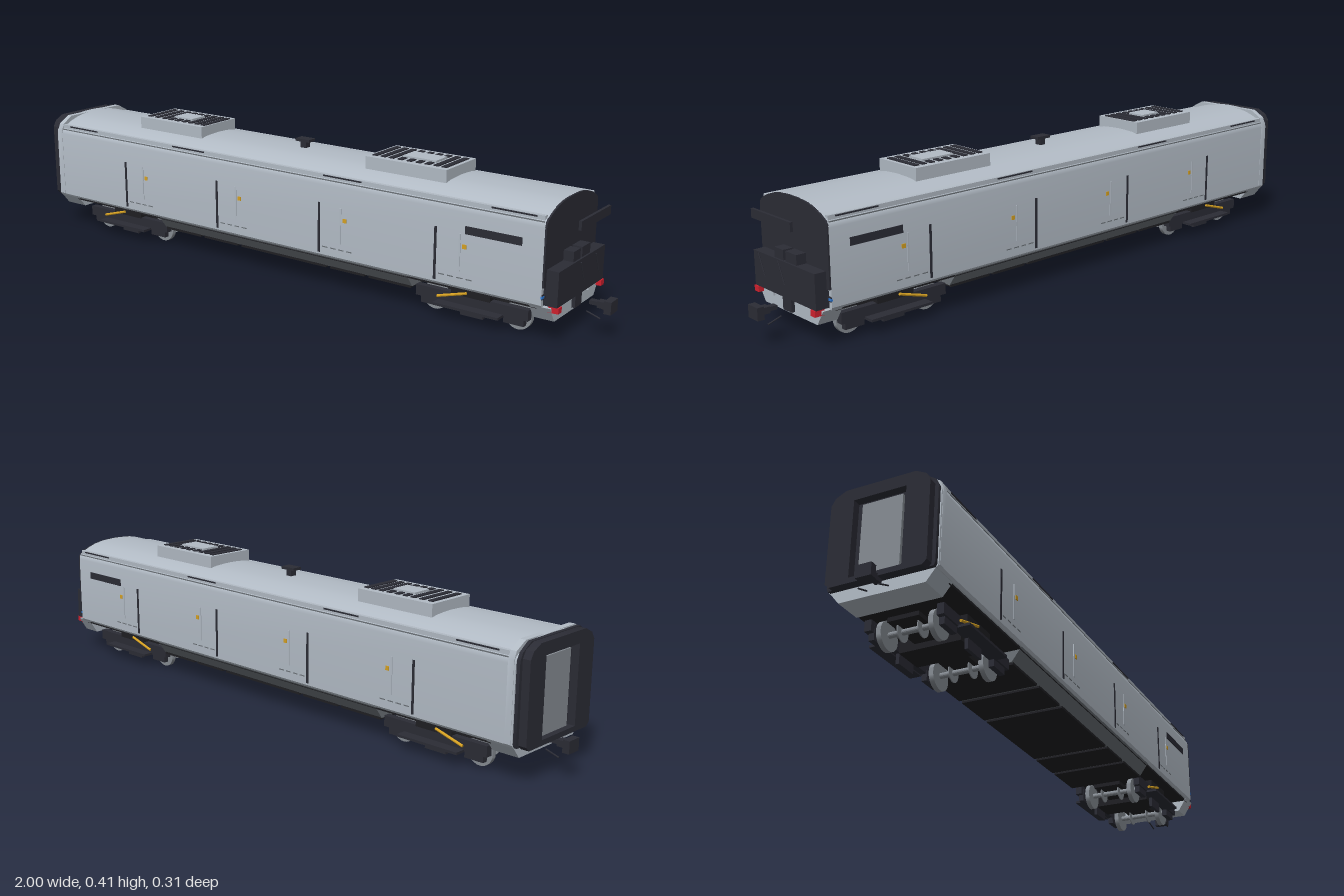
import * as THREE from 'three';
import { toCreasedNormals } from 'three/addons/utils/BufferGeometryUtils.js';

const mat = (name, color) => {
  const m = new THREE.MeshStandardMaterial({ color });
  m.name = name;
  return m;
};

export function createModel() {
  const grey = mat('body grey', 0xb2bbc5);
  const dark = mat('dark panel', 0x2b2c35);
  const black = mat('underframe black', 0x1f1f23);
  const shade = mat('skirt grey', 0x6c7278);
  const steel = mat('steel', 0x868c93);
  const yellow = mat('yellow', 0xd6a122);
  const red = mat('red', 0xd0202e);
  const blue = mat('blue', 0x2f7ad6);

  const root = new THREE.Group();
  root.name = 'railCar';
  const add = (name, geo, m, parent = root) => {
    const mesh = new THREE.Mesh(geo, m);
    mesh.name = name;
    parent.add(mesh);
    return mesh;
  };
  // Box given by its min and max on each axis
  const box = (name, m, x0, x1, y0, y1, z0, z1, parent = root) => {
    const b = add(name, new THREE.BoxGeometry(x1 - x0, y1 - y0, z1 - z0), m, parent);
    b.position.set((x0 + x1) / 2, (y0 + y1) / 2, (z0 + z1) / 2);
    return b;
  };
  // Symmetric cross-section of [z, y] points (bottom to top) run along x
  const section = (half) => new THREE.Shape([
    ...half.map(([z, y]) => new THREE.Vector2(z, y)),
    ...half.slice().reverse().filter(([z]) => z > 0).map(([z, y]) => new THREE.Vector2(-z, y)),
  ]);
  const run = (name, shape, m, x0, x1) => {
    const g = new THREE.ExtrudeGeometry(shape, { depth: x1 - x0, bevelEnabled: false });
    g.rotateY(Math.PI / 2).translate(x0, 0, 0);
    return add(name, toCreasedNormals(g, 0.5), m);
  };
  // Round bar between two points
  const rod = (name, m, a, b, r, parent = root, sides = 8) => {
    const p = new THREE.Vector3(...a), q = new THREE.Vector3(...b);
    const geo = toCreasedNormals(new THREE.CylinderGeometry(r, r, p.distanceTo(q), sides), 0.9);
    const mesh = add(name, geo, m, parent);
    mesh.position.copy(p).add(q).multiplyScalar(0.5);
    mesh.quaternion.setFromUnitVectors(new THREE.Vector3(0, 1, 0), q.sub(p).normalize());
    return mesh;
  };

  // Body shell with curved roof
  const roof = [[0.153, 0.331], [0.147, 0.339], [0.132, 0.348], [0.112, 0.357], [0.088, 0.365], [0.06, 0.371], [0.03, 0.373], [0, 0.374]];
  run('bodyShell', section([[0.15, 0.105], [0.155, 0.112], [0.155, 0.32], ...roof]), grey, -0.92, 0.866);
  run('cabPanel', section([[0.143, 0.11], [0.143, 0.16], [0.155, 0.16], [0.155, 0.32], ...roof]), dark, 0.865, 0.871);
  run('endCollar', section([[0.15, 0.107], [0.156, 0.113], [0.156, 0.33], [0.147, 0.352], [0.11, 0.373], [0, 0.373]]), grey, -0.915, -0.897);
  for (const s of [-1, 1]) {
    box('gutter', grey, -0.897, 0.862, 0.335, 0.35, s * 0.142 - 0.006, s * 0.142 + 0.006);
    box('gutterSeam', shade, -0.897, 0.862, 0.333, 0.336, s * 0.149 - 0.003, s * 0.149 + 0.003);
    for (const x of [-0.8, -0.34, 0.24, 0.775])
      box('gutterDrain', dark, x - 0.065, x + 0.065, 0.344, 0.348, s * 0.147 - 0.003, s * 0.147 + 0.003);
  }

  // Gangway end
  run('endBulkhead', section([[0.148, 0.105], [0.152, 0.115], [0.152, 0.33], [0.142, 0.35], [0.108, 0.372], [0, 0.372]]), dark, -0.93, -0.92);
  const frame = section([[0.13, 0.1], [0.142, 0.112], [0.142, 0.335], [0.13, 0.355], [0.1, 0.37], [0, 0.37]]);
  frame.holes.push(new THREE.Path([[-0.075, 0.115], [0.075, 0.115], [0.075, 0.335], [-0.075, 0.335]].map(([x, y]) => new THREE.Vector2(x, y))));
  run('gangwayFrame', frame, dark, -0.953, -0.93);
  box('gangwayDoor', steel, -0.939, -0.93, 0.117, 0.325, -0.058, 0.058);

  // Skirts and underframe
  run('middleSkirt', section([[0.12, 0.066], [0.15, 0.107], [0, 0.107]]), shade, -0.47, 0.46);
  box('bogieCeiling', black, -0.85, 0.85, 0.098, 0.106, -0.145, 0.145);
  run('cabEndSkirt', section([[0.122, 0.064], [0.15, 0.107], [0, 0.107]]), grey, 0.83, 0.89);
  run('gangwayEndSkirt', section([[0.122, 0.072], [0.15, 0.107], [0, 0.107]]), grey, -0.92, -0.84);
  for (const [a, b] of [[-0.465, -0.32], [-0.305, -0.17], [-0.155, 0.165], [0.18, 0.3], [0.315, 0.455]])
    box('bellyPanel', black, a, b, 0.06, 0.068, -0.121, 0.121);

  // Side doors, windows and small fittings
  for (const s of [-1, 1]) {
    const plate = (name, m, x0, x1, y0, y1, t = 0.002) =>
      box(name, m, x0, x1, y0, y1, s * 0.155 - t, s * 0.155 + t);
    plate('sideWindow', dark, 0.64, 0.805, 0.262, 0.284);
    for (let i = 0; i < 4; i++) {
      const x = -0.605 + i * 0.385;
      plate('doorSeam', dark, x - 0.0035, x + 0.0035, 0.118, 0.267);
      plate('doorEdge', grey, x + 0.072, x + 0.077, 0.155, 0.26);
      plate('doorMarker', yellow, x + 0.083, x + 0.095, 0.22, 0.232);
      for (let k = 0; k < 4; k++)
        plate('stepMark', shade, x + 0.012 + k * 0.028, x + 0.03 + k * 0.028, 0.135, 0.138, 0.001);
    }
  }

  // Roof ventilation units with grilles
  const units = [
    [-0.602, -0.342, [-0.58, -0.55, -0.52, -0.408, -0.381, -0.355], [-0.492, -0.464, -0.436]],
    [0.272, 0.535, [0.291, 0.318, 0.345, 0.49, 0.516], [0.374, 0.404, 0.433, 0.462]],
  ];
  for (const [x0, x1, full, short] of units) {
    const g = new THREE.Group();
    g.name = 'roofUnit';
    root.add(g);
    box('unitCase', grey, x0, x1, 0.36, 0.403, -0.081, 0.081, g);
    for (const x of full) box('grilleSlat', dark, x - 0.008, x + 0.008, 0.402, 0.406, -0.062, 0.062, g);
    for (const x of short) for (const s of [-1, 1])
      box('shortSlat', dark, x - 0.008, x + 0.008, 0.402, 0.406, s * 0.049 - 0.013, s * 0.049 + 0.013, g);
    box('fanCover', grey, short[0] - 0.01, short[short.length - 1] + 0.01, 0.402, 0.409, -0.03, 0.03, g);
  }
  box('antennaFoot', dark, -0.01, 0.01, 0.37, 0.395, -0.01, 0.01);
  box('antennaPlate', dark, -0.025, 0.025, 0.393, 0.401, -0.016, 0.016);

  // Cab end equipment
  box('cabLowerBox', dark, 0.87, 0.905, 0.11, 0.207, -0.142, 0.142);
  box('instrumentBox', dark, 0.87, 0.9, 0.207, 0.235, 0.006, 0.047);
  box('instrumentBox', dark, 0.87, 0.9, 0.207, 0.235, -0.055, -0.005);
  box('headerPanel', dark, 0.927, 0.935, 0.31, 0.335, -0.091, 0.091);
  for (const z of [0.072, -0.02]) rod('wiper', dark, [0.932, 0.22, z], [0.932, 0.162, z - 0.026], 0.0018);
  box('couplerPocket', dark, 0.885, 0.9, 0.072, 0.109, -0.02, 0.02);
  for (const s of [-1, 1]) {
    box('tailLight', red, 0.88, 0.909, 0.094, 0.11, s * 0.132 - 0.01, s * 0.132 + 0.01);
    box('lampPanel', grey, 0.885, 0.896, 0.094, 0.109, s * 0.095 - 0.023, s * 0.095 + 0.023);
    box('cornerBand', dark, 0.864, 0.868, 0.127, 0.141, s * 0.149 - 0.006, s * 0.149 + 0.006);
    box('cornerMark', blue, 0.864, 0.869, 0.13, 0.137, s * 0.15 - 0.006, s * 0.15 + 0.006);
  }

  // Couplers at both ends
  for (const s of [-1, 1]) {
    const c = new THREE.Group();
    c.name = 'coupler';
    c.rotation.y = s > 0 ? 0 : Math.PI;
    root.add(c);
    box('couplerHead', dark, 0.98, 1, 0.075, 0.11, -0.022, 0.022, c);
    box('couplerNeck', dark, 0.957, 0.981, 0.084, 0.102, -0.012, 0.012, c);
    box('couplerShaft', dark, 0.934, 0.958, 0.088, 0.099, -0.009, 0.009, c);
    for (const z of [-0.03, 0.03]) rod('hose', dark, [0.937, 0.076, z], [0.975, 0.062, z * 0.9], 0.0022, c);
  }

  // Bogies
  for (const cx of [-0.645, 0.64]) {
    const b = new THREE.Group();
    b.name = 'bogie';
    b.position.x = cx;
    root.add(b);
    box('bolster', black, -0.045, 0.045, 0.035, 0.1, -0.09, 0.09, b);
    box('crossBeam', black, -0.175, 0.175, 0.052, 0.064, -0.045, 0.045, b);
    for (const wx of [-0.128, 0.128]) {
      rod('axle', steel, [wx, 0.042, -0.1], [wx, 0.042, 0.1], 0.008, b, 16);
      for (const s of [-1, 1]) {
        rod('wheel', steel, [wx, 0.04, s * 0.067], [wx, 0.04, s * 0.081], 0.04, b, 28);
        rod('brakeDisc', steel, [wx, 0.042, s * 0.028], [wx, 0.042, s * 0.031], 0.026, b, 20);
        box('axleBox', dark, wx - 0.03, wx + 0.03, 0.022, 0.062, s * 0.1 - 0.008, s * 0.1 + 0.008, b);
      }
    }
    for (const s of [-1, 1]) {
      box('sideFrame', dark, -0.172, 0.172, 0.042, 0.073, s * 0.103 - 0.01, s * 0.103 + 0.01, b);
      box('frameDrop', dark, -0.035, 0.035, 0.012, 0.045, s * 0.1 - 0.005, s * 0.1 + 0.005, b);
      box('airSpring', black, -0.06, 0.06, 0.07, 0.095, s * 0.095 - 0.02, s * 0.095 + 0.02, b);
      box('footBoard', dark, -0.1, 0.1, 0.038, 0.045, s * 0.128 - 0.017, s * 0.128 + 0.017, b);
      rod('yawDamper', yellow, [-0.1, 0.056, s * 0.119], [-0.01, 0.082, s * 0.119], 0.004, b);
    }
  }
  return root;
}
